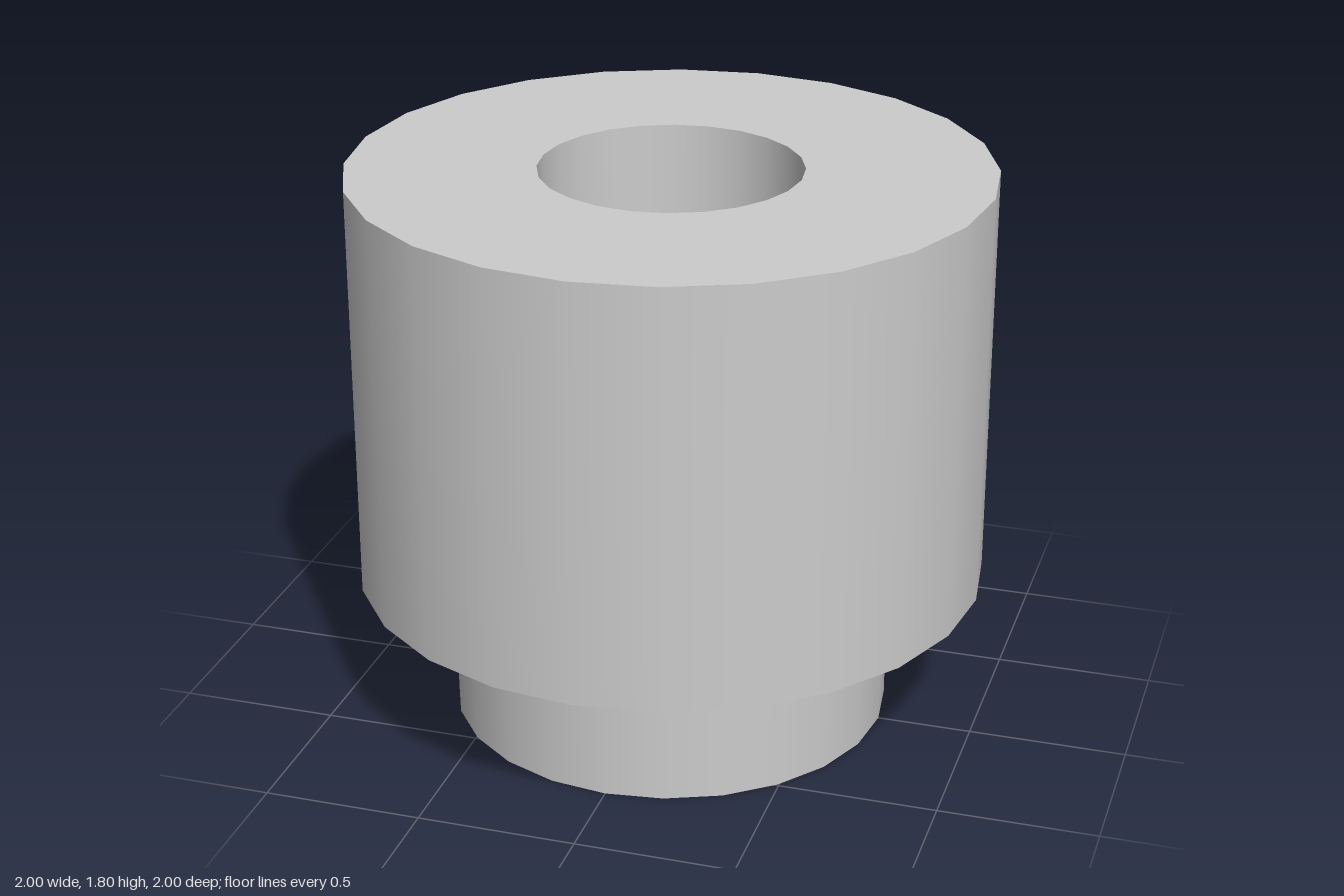
import * as THREE from 'three';

const SEGMENTS = 24;
const BORE = 0.41, NECK = 0.7, BODY = 1;
const STEP = 0.475, TOP = 1.805;

export function createModel() {
  const group = new THREE.Group();
  group.name = 'steppedBushing';
  const grey = new THREE.MeshStandardMaterial({ color: 0xcccccc });
  grey.name = 'light grey';

  // One revolved band per profile edge: smooth around, sharp between bands
  const addBand = (name, r0, y0, r1, y1) => {
    const profile = [new THREE.Vector2(r0, y0), new THREE.Vector2(r1, y1)];
    const mesh = new THREE.Mesh(new THREE.LatheGeometry(profile, SEGMENTS), grey);
    mesh.name = name;
    group.add(mesh);
  };

  addBand('neckBottom', BORE, 0, NECK, 0);
  addBand('neckWall', NECK, 0, NECK, STEP);
  addBand('shoulder', NECK, STEP, BODY, STEP);
  addBand('bodyWall', BODY, STEP, BODY, TOP);
  addBand('bodyTop', BODY, TOP, BORE, TOP);
  addBand('boreWall', BORE, TOP, BORE, 0);

  return group;
}
